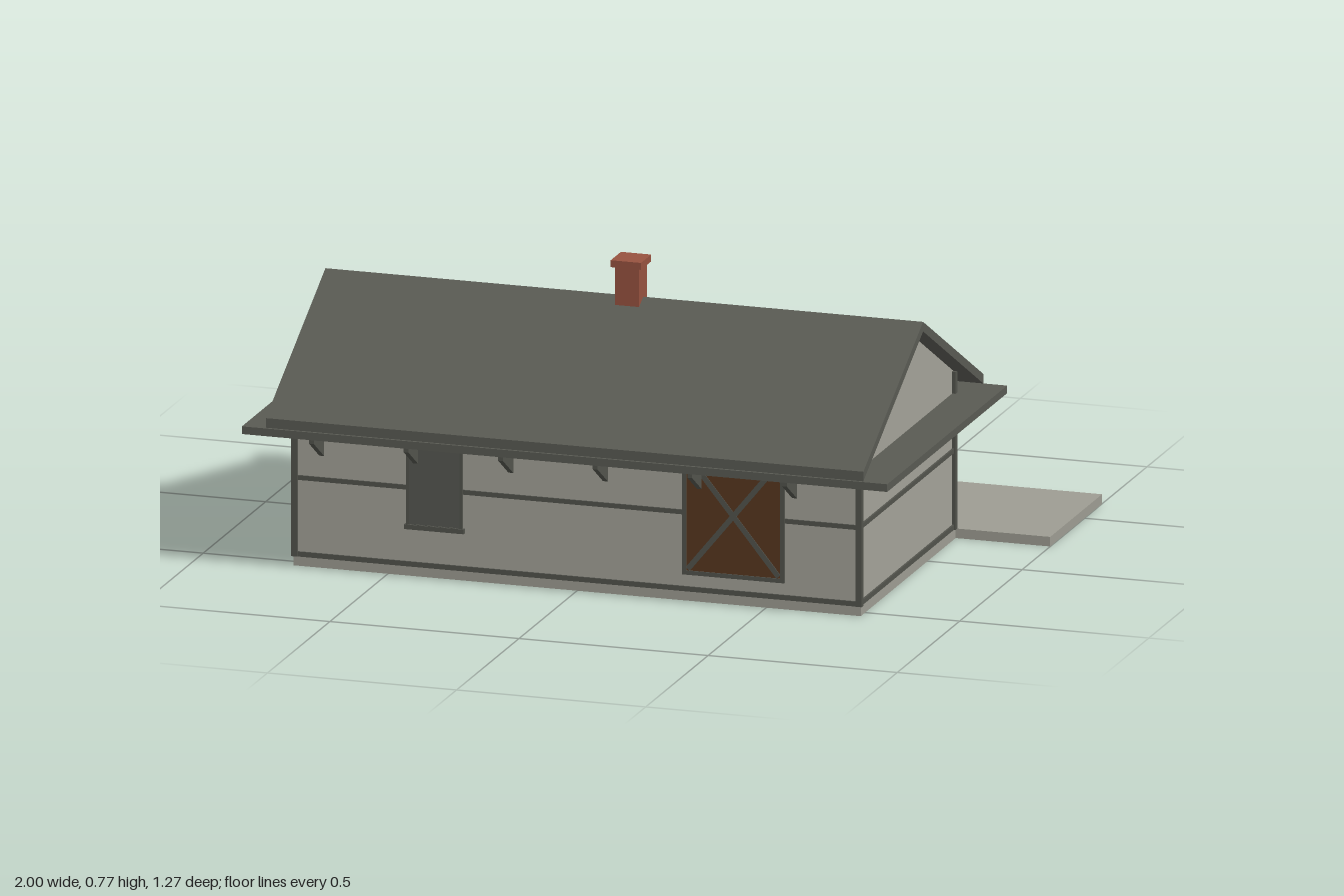
import * as THREE from 'three';

const mat = (name, color, side = THREE.FrontSide) => {
  const m = new THREE.MeshStandardMaterial({ color, side });
  m.name = name;
  return m;
};

export function createModel() {
  const plaster = mat('plaster', 0xa3a298);
  const stone = mat('stone', 0x9d9c92);
  const slate = mat('slate', 0x595a53);
  const timber = mat('timber', 0x52534c);
  const pane = mat('pane', 0x555751);
  const wood = mat('wood', 0x57371f);
  const brick = mat('brick', 0x96523f);

  const house = new THREE.Group();
  house.name = 'house';

  const add = (parent, name, geometry, material) => {
    const mesh = new THREE.Mesh(geometry, material);
    mesh.name = name;
    parent.add(mesh);
    return mesh;
  };
  // box given by its limits on each axis
  const box = (parent, name, material, [x0, x1], [y0, y1], [z0, z1]) => {
    const g = new THREE.BoxGeometry(x1 - x0, y1 - y0, z1 - z0);
    g.translate((x0 + x1) / 2, (y0 + y1) / 2, (z0 + z1) / 2);
    return add(parent, name, g, material);
  };
  const extrude = (points, depth) => new THREE.ExtrudeGeometry(
    new THREE.Shape(points.map(p => new THREE.Vector2(...p))), { depth, bevelEnabled: false });
  // (z, y) profile swept along x, centred on x
  const alongX = (points, width, x = 0) =>
    extrude(points, width).translate(0, 0, -width / 2).rotateY(-Math.PI / 2).translate(x, 0, 0);

  const front = 0.535, back = -0.22, ridge = 0.157, slope = 0.55;
  const roofY = (z, top) => top - Math.abs(z - ridge) * slope;

  // platform and footing
  box(house, 'platform', stone, [-1, 1], [0, 0.025], [-0.64, -0.225]);
  box(house, 'footing', stone, [-0.75, 0.75], [0, 0.025], [-0.225, 0.535]);

  // walls with gables
  add(house, 'walls', alongX([[back, 0.025], [front, 0.025], [front, roofY(front, 0.645)],
    [ridge, 0.645], [back, roofY(back, 0.645)]], 1.49), plaster);

  // roof slopes and flat eaves deck
  const e0 = -0.325, e1 = 0.635;
  add(house, 'roof', alongX([[e0, roofY(e0, 0.645)], [ridge, 0.645], [e1, roofY(e1, 0.645)],
    [e1, roofY(e1, 0.67)], [ridge, 0.67], [e0, roofY(e0, 0.67)]], 1.58), slate);
  box(house, 'eavesDeck', slate, [-0.853, 0.853], [0.36, 0.38], [e0, e1]);

  // timber frame: horizontal rails and corner posts
  for (const [y0, y1] of [[0.025, 0.038], [0.225, 0.237]]) {
    box(house, 'frontRail', timber, [-0.75, 0.75], [y0, y1], [front - 0.01, front + 0.004]);
    box(house, 'backRail', timber, [-0.75, 0.75], [y0, y1], [back - 0.004, back + 0.01]);
    for (const s of [-1, 1]) {
      box(house, 'endRail', timber, s < 0 ? [-0.75, -0.735] : [0.735, 0.75], [y0, y1], [back, front]);
    }
  }
  for (const xs of [[-0.754, -0.738], [0.738, 0.754]]) {
    box(house, 'cornerPost', timber, xs, [0.025, 0.437], [0.526, 0.541]);
    box(house, 'cornerPost', timber, xs, [0.025, 0.437], [-0.227, -0.212]);
  }

  // eaves brackets
  for (let i = 0; i < 6; i++) {
    const x = -0.675 + i * 0.25;
    add(house, 'frontBracket', alongX([[front, 0.292], [0.617, 0.345], [0.617, 0.36], [front, 0.36]], 0.013, x), timber);
    add(house, 'backBracket', alongX([[back, 0.36], [-0.302, 0.36], [-0.302, 0.345], [back, 0.292]], 0.013, x), timber);
  }

  // chimney
  box(house, 'chimney', brick, [-0.014, 0.05], [0.58, 0.755], [0.125, 0.19]);
  box(house, 'chimneyCap', brick, [-0.022, 0.058], [0.752, 0.77], [0.117, 0.199]);

  // bay on the back wall, rising through the eaves
  add(house, 'bay', extrude([[-0.345, -0.21], [-0.245, -0.323], [-0.075, -0.323], [0.01, -0.21]], 0.4)
    .rotateX(Math.PI / 2).translate(0, 0.425, 0), plaster);

  // framed opening, built facing +z on its wall plane
  const opening = (name, w, y0, y1, x, z, turn, fill, t = 0.01) => {
    const g = new THREE.Group();
    g.name = name;
    g.position.set(x, 0, z);
    g.rotation.y = turn;
    const h = w / 2;
    box(g, 'panel', fill, [-h + t / 2, h - t / 2], [y0, y1], [-0.002, 0.006]);
    for (const xs of [[-h, -h + t], [h - t, h]]) box(g, 'jamb', timber, xs, [y0, y1], [-0.002, 0.009]);
    box(g, 'header', timber, [-h, h], [y1 - t, y1], [-0.002, 0.009]);
    box(g, 'sill', timber, [-h, h], [y0, y0 + t], [-0.002, 0.009]);
    house.add(g);
    return g;
  };

  // windows with projecting sills
  const window_ = (name, w, y0, x, z, turn) => {
    const g = opening(name, w, y0, 0.412, x, z, turn, pane, 0.007);
    box(g, 'ledge', timber, [-w / 2 - 0.005, w / 2 + 0.005], [y0 - 0.006, y0 + 0.006], [-0.002, 0.012]);
  };
  window_('frontWindow', 0.148, 0.13, -0.375, front, 0);
  window_('endWindow', 0.148, 0.13, -0.745, 0.16, -Math.PI / 2);
  window_('backWindow', 0.09, 0.14, -0.56, back, Math.PI);
  box(house, 'bayWindow', pane, [-0.24, -0.08], [0.18, 0.41], [-0.327, -0.32]);

  // barn doors with crossed braces, front and back
  for (const [z, turn] of [[front, 0], [back, Math.PI]]) {
    const w = 0.27, y0 = 0.07, y1 = 0.395;
    const door = opening('barnDoor', w, y0, y1, 0.415, z, turn, wood, 0.011);
    const dx = w - 0.03, dy = y1 - y0 - 0.03;
    for (const s of [-1, 1]) {
      const brace = add(door, 'crossBrace', new THREE.BoxGeometry(Math.hypot(dx, dy), 0.014, 0.008), timber);
      brace.position.set(0, (y0 + y1) / 2, 0.004);
      brace.rotation.z = s * Math.atan2(dy, dx);
    }
  }

  // entry door beside the bay
  opening('entryDoor', 0.15, 0.05, 0.395, -0.425, back, Math.PI, wood, 0.011);

  return house;
}
